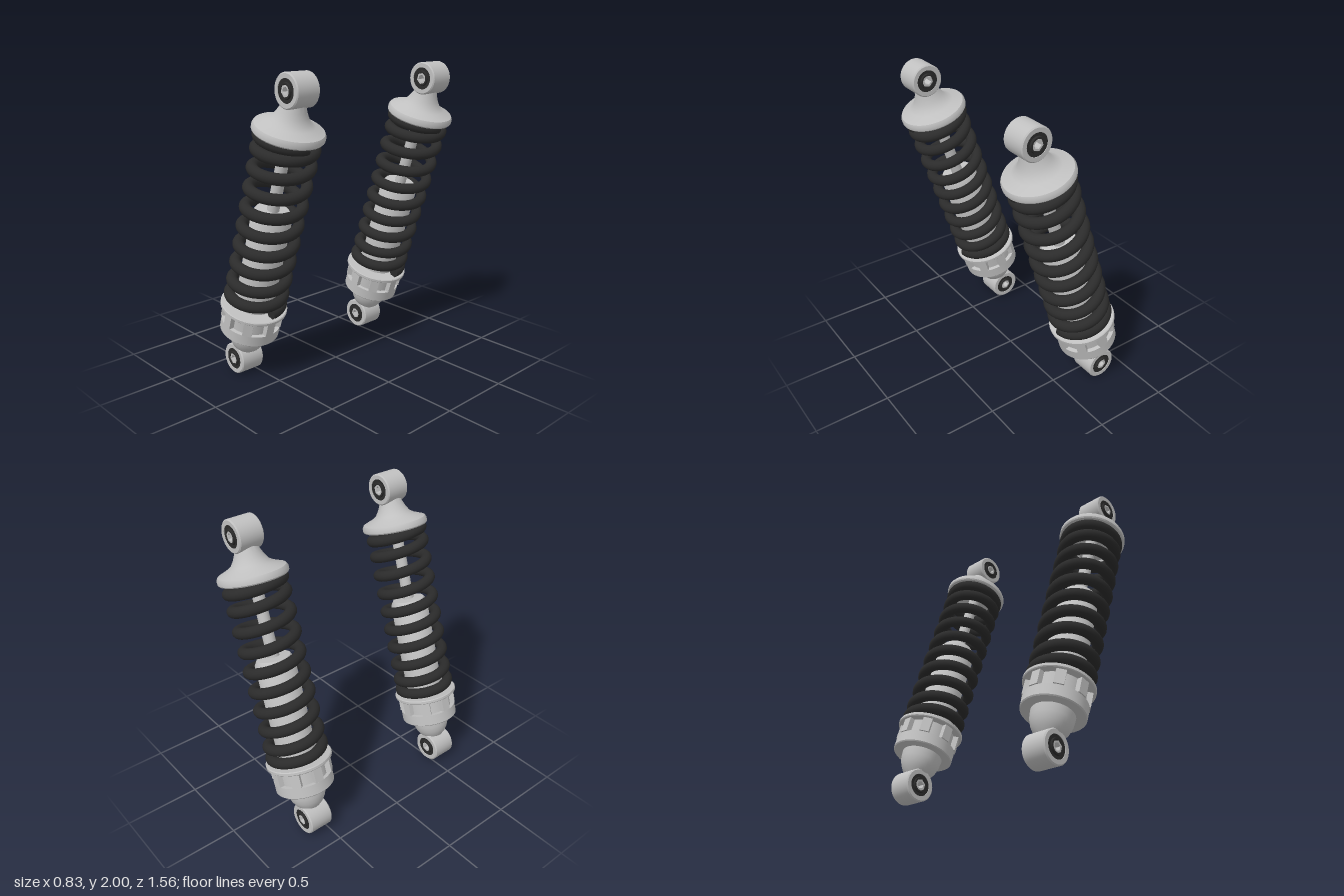
import * as THREE from 'three';
import { toCreasedNormals } from 'three/addons/utils/BufferGeometryUtils.js';

const TILT = 0.315;       // lean of each damper towards +x
const LENGTH = 1.888;     // distance between eye centres

const metal = new THREE.MeshStandardMaterial({ color: 0xc0c0c0 });
metal.name = 'light grey metal';
const dark = new THREE.MeshStandardMaterial({ color: 0x2b2b2b });
dark.name = 'dark coating';

function add(parent, name, geometry, material) {
  const mesh = new THREE.Mesh(geometry, material);
  mesh.name = name;
  parent.add(mesh);
  return mesh;
}

// Turned part from [radius, height] pairs, listed upwards along the outside
function turned(points, segments = 48) {
  const profile = points.map(([r, y]) => new THREE.Vector2(r, y));
  return toCreasedNormals(new THREE.LatheGeometry(profile, segments), 0.6);
}

// Ring lying across z, symmetric in width; outer is a list of [radius, half width]
function bush(inner, outer, segments = 40) {
  const up = outer.map(([r, h]) => [r, h]);
  const down = outer.map(([r, h]) => [r, -h]).reverse();
  const w = down[down.length - 1][1];
  const edge = outer[0][1];
  const points = [[inner, -edge], ...outer.map(([r, h]) => [r, -h]),
    ...[...up].reverse(), [inner, edge], [inner, w]];
  return turned(points, segments).rotateX(Math.PI / 2);
}

// Mounting eye with rubber bushing and open sleeve
function mountingEye(name, y) {
  const eye = new THREE.Group();
  eye.name = name;
  eye.position.y = y;
  add(eye, 'eyeRing', bush(0.07, [[0.096, 0.083], [0.103, 0.076]]), metal);
  add(eye, 'rubberBushing', bush(0.036, [[0.046, 0.09], [0.049, 0.079], [0.071, 0.079]]), dark);
  add(eye, 'sleeve', bush(0.024, [[0.037, 0.086]], 6), metal);
  return eye;
}

// Spring centre line: closer turns at both ends
const TURNS = 10;
const STOPS = [[0, 0.458], [0.5, 0.478], [1.5, 0.578], [8.5, 1.492], [9.5, 1.59], [TURNS, 1.606]];
class SpringCurve extends THREE.Curve {
  constructor() {
    super();
    this.arcLengthDivisions = 1200;
  }
  getPoint(t, target = new THREE.Vector3()) {
    const u = t * TURNS;
    let i = 0;
    while (i < STOPS.length - 2 && u > STOPS[i + 1][0]) i++;
    const [u0, y0] = STOPS[i], [u1, y1] = STOPS[i + 1];
    const y = y0 + (y1 - y0) * (u - u0) / (u1 - u0);
    const a = -u * Math.PI * 2;
    return target.set(0.17 * Math.cos(a), y, 0.17 * Math.sin(a));
  }
}

function spring() {
  const group = new THREE.Group();
  group.name = 'coilSpring';
  const wire = 0.036;
  add(group, 'springWire', new THREE.TubeGeometry(new SpringCurve(), 480, wire, 14), dark);
  add(group, 'springEndLower', new THREE.CircleGeometry(wire, 14), dark).position.set(0.17, STOPS[0][1], 0);
  add(group, 'springEndUpper', new THREE.CircleGeometry(wire, 14).rotateY(Math.PI), dark)
    .position.set(0.17, STOPS[STOPS.length - 1][1], 0);
  return group;
}

function damper(name) {
  const group = new THREE.Group();
  group.name = name;
  group.add(mountingEye('lowerEye', 0), mountingEye('upperEye', LENGTH), spring());

  // Rounded foot above the lower eye
  add(group, 'foot', turned([[0, 0.075], [0.068, 0.075], [0.092, 0.1], [0.112, 0.135],
    [0.125, 0.175], [0.13, 0.23], [0, 0.23]]), metal);

  // Preload adjuster: ring, notched collar, spring seat
  add(group, 'adjusterRing', turned([[0, 0.225], [0.186, 0.225], [0.192, 0.231],
    [0.192, 0.302], [0, 0.302]]), metal);
  add(group, 'adjusterCore', turned([[0, 0.3], [0.165, 0.3], [0.165, 0.41], [0, 0.41]]), metal);
  for (let i = 0; i < 8; i++) {
    const a = i * Math.PI / 4;
    const lug = add(group, 'adjusterLug', new THREE.BoxGeometry(0.05, 0.1, 0.06), metal);
    lug.position.set(0.171 * Math.cos(a), 0.355, 0.171 * Math.sin(a));
    lug.rotation.y = -a;
  }
  add(group, 'lowerSpringSeat', turned([[0, 0.403], [0.21, 0.403], [0.215, 0.408],
    [0.215, 0.424], [0.21, 0.429], [0, 0.429]]), metal);

  // Damper body and piston rod
  add(group, 'damperBody', turned([[0, 0.42], [0.125, 0.42], [0.125, 1.085],
    [0.105, 1.118], [0, 1.125]]), metal);
  add(group, 'pistonRod', new THREE.CylinderGeometry(0.038, 0.038, 0.55, 28), metal).position.y = 1.385;

  // Flared upper cap, recessed underneath for the spring
  add(group, 'upperSpringCap', turned([[0, 1.642], [0.19, 1.642], [0.194, 1.62], [0.21, 1.62],
    [0.216, 1.628], [0.216, 1.65], [0.207, 1.666], [0.145, 1.692], [0.115, 1.712],
    [0.094, 1.745], [0.08, 1.775], [0.068, 1.812], [0, 1.812]]), metal);

  group.rotation.z = -TILT;
  return group;
}

export function createModel() {
  const model = new THREE.Group();
  model.name = 'shockAbsorberPair';
  for (const [name, z] of [['frontDamper', 0.565], ['rearDamper', -0.565]]) {
    const unit = damper(name);
    unit.position.set(-0.293, 0.103, z);
    model.add(unit);
  }
  return model;
}
